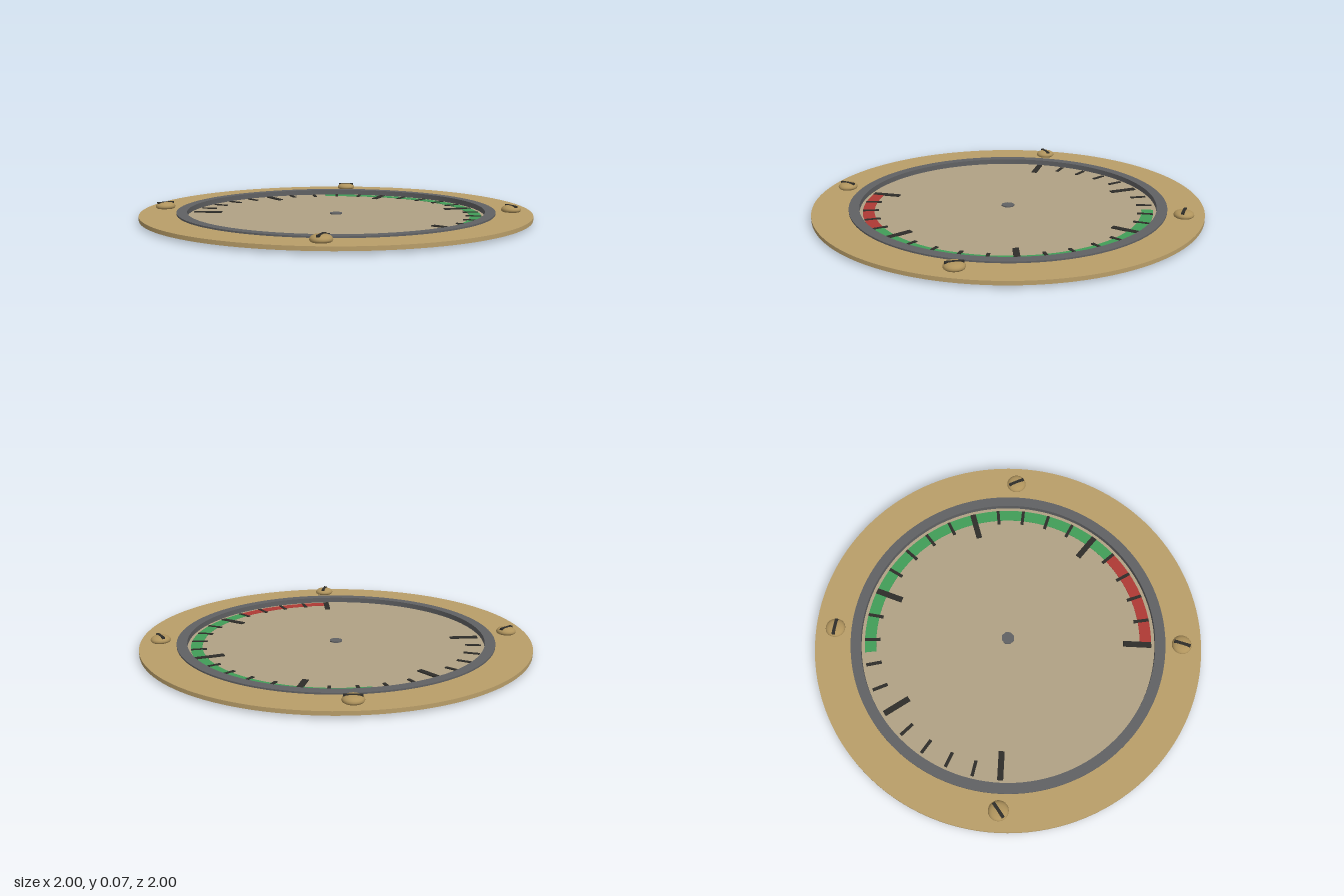
import * as THREE from 'three';
import { toCreasedNormals } from 'three/addons/utils/BufferGeometryUtils.js';

const mat = (name, color) => {
  const m = new THREE.MeshStandardMaterial({ color });
  m.name = name;
  return m;
};
const deg = THREE.MathUtils.degToRad;

// Flat ring or ring sector lying on y, angles counterclockwise from +x seen from above
function ring(inner, outer, y, height, start = 0, end = Math.PI * 2) {
  const shape = new THREE.Shape();
  if (end - start >= Math.PI * 2 - 1e-6) {
    shape.absarc(0, 0, outer, 0, Math.PI * 2, false);
    shape.holes.push(new THREE.Path().absarc(0, 0, inner, 0, Math.PI * 2, true));
  } else {
    shape.absarc(0, 0, outer, start, end, false);
    shape.absarc(0, 0, inner, end, start, true);
    shape.closePath();
  }
  const geo = new THREE.ExtrudeGeometry(shape, { depth: height, bevelEnabled: false, curveSegments: 64 });
  geo.rotateX(-Math.PI / 2);
  geo.translate(0, y, 0);
  return toCreasedNormals(geo, 0.6);
}

export function createModel() {
  const group = new THREE.Group();
  group.name = 'dialGauge';
  const brass = mat('brass', 0xb99e69);
  const screwBrass = mat('screw brass', 0xb0945d);
  const steel = mat('dark steel', 0x606163);
  const face = mat('dial face', 0xb0a184);
  const green = mat('green band', 0x419d58);
  const red = mat('red band', 0xae3a34);
  const black = mat('black marking', 0x2e2d29);

  const add = (name, geo, material, parent = group) => {
    const mesh = new THREE.Mesh(geo, material);
    mesh.name = name;
    parent.add(mesh);
    return mesh;
  };

  // Mounting flange, dial disc and raised bezel
  add('flange', ring(0.79, 1, 0.012, 0.02), brass);
  add('dialDisc', new THREE.CylinderGeometry(0.8, 0.8, 0.012, 96), face).position.y = 0.006;
  add('bezel', ring(0.762, 0.815, 0.0125, 0.0275), steel);
  add('centreHub', new THREE.CylinderGeometry(0.034, 0.034, 0.006, 8).rotateY(Math.PI / 8), steel).position.y = 0.015;

  // Coloured range bands; dial angles run clockwise from the top
  const band = (name, from, to, material) =>
    add(name, ring(0.686, 0.745, 0.012, 0.002, deg(90 - to), deg(90 - from)), material);
  band('greenBand', -54, 91.8, green);
  band('redBand', 91.8, 135, red);

  // Scale: 25 divisions over 270 degrees, every fifth mark long
  const ticks = new THREE.Group();
  ticks.name = 'scaleMarks';
  group.add(ticks);
  for (let i = 0; i <= 25; i++) {
    const major = i % 5 === 0;
    const inner = major ? 0.6 : 0.665;
    const a = deg(225 - i * 10.8);
    const r = (inner + 0.745) / 2;
    const tick = add(major ? 'majorMark' : 'minorMark',
      new THREE.BoxGeometry(0.745 - inner, 0.005, major ? 0.03 : 0.016), black, ticks);
    tick.position.set(r * Math.cos(a), 0.0145, -r * Math.sin(a));
    tick.rotation.y = a;
  }

  // Domed slotted screws, each turned differently
  const profile = [[0.04, 0.03], [0.048, 0.036], [0.051, 0.043], [0.048, 0.051],
    [0.041, 0.058], [0.03, 0.063], [0.015, 0.065], [0, 0.0655]]
    .map(([x, y]) => new THREE.Vector2(x, y));
  const screwHead = new THREE.LatheGeometry(profile, 24);
  const slot = new THREE.BoxGeometry(0.086, 0.009, 0.016);
  for (const [x, z, turn] of [[-1, -1, 39], [1, -1, -18], [-1, 1, 82], [1, 1, -60]]) {
    const screw = new THREE.Group();
    screw.name = 'screw';
    screw.position.set(x * 0.635, 0, z * 0.635);
    screw.rotation.y = deg(turn);
    add('screwHead', screwHead, screwBrass, screw);
    add('screwSlot', slot, black, screw).position.y = 0.0618;
    group.add(screw);
  }
  return group;
}
